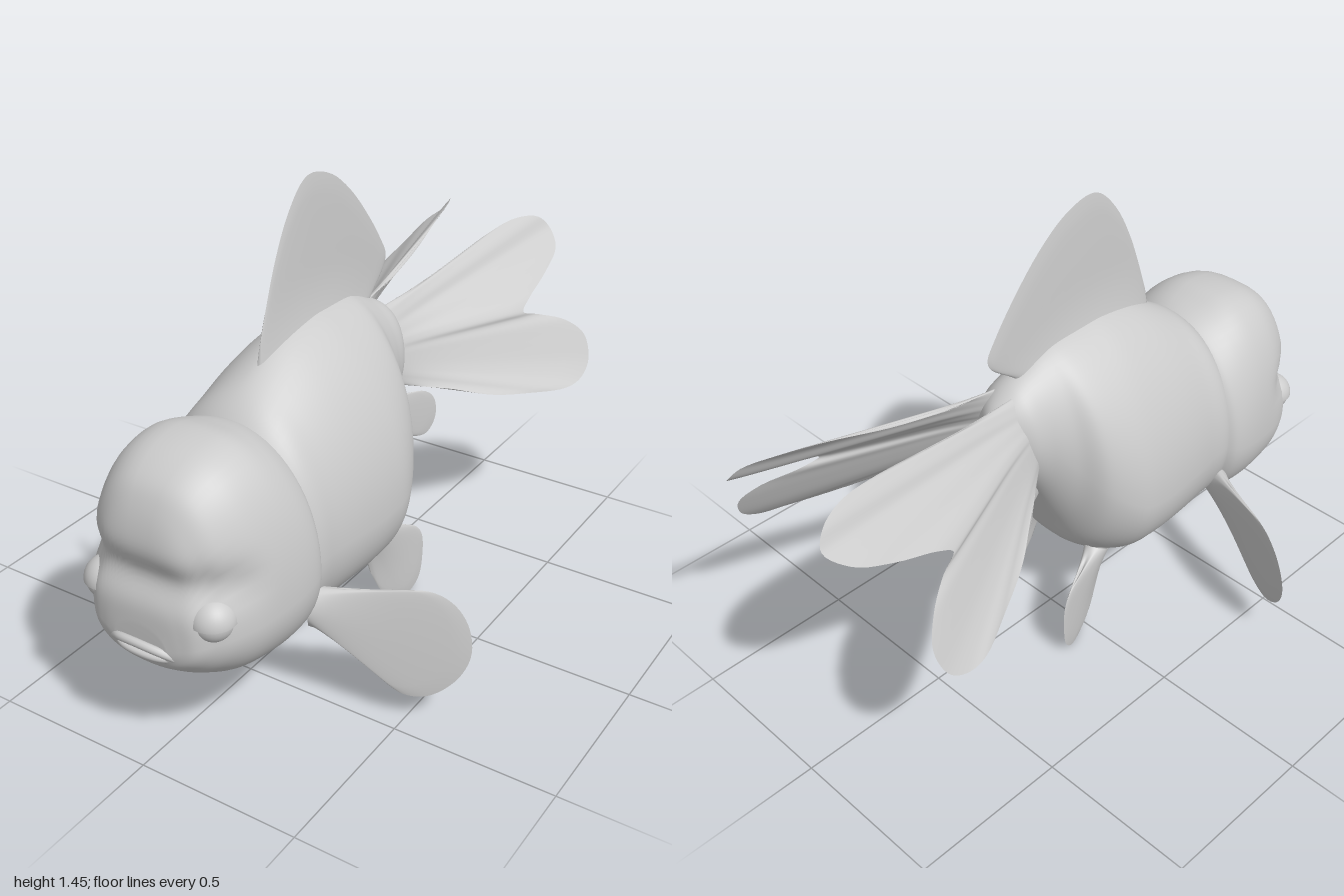
import * as THREE from 'three';

const V = (x, y, z) => new THREE.Vector3(x, y, z);
const skin = new THREE.MeshStandardMaterial({ color: 0xcccccc, side: THREE.DoubleSide });

function mesh(name, geometry) {
  const m = new THREE.Mesh(geometry, skin);
  m.name = name;
  return m;
}

// Smooth surface through a list of closed rings
function skinRings(rings) {
  const n = rings[0].length, index = [];
  for (let i = 0; i < rings.length - 1; i++) {
    for (let j = 0; j < n; j++) {
      const a = i * n + j, b = i * n + (j + 1) % n;
      index.push(a, a + n, b, b, a + n, b + n);
    }
  }
  const g = new THREE.BufferGeometry().setFromPoints(rings.flat());
  g.setIndex(index);
  g.computeVertexNormals();
  return g;
}

// Body loft, front to back. Section: [z, top, bottom, halfWidth, widestY, upperTaper]
function loft(sections, steps = 72, around = 64) {
  const a = new THREE.CatmullRomCurve3(sections.map(s => V(s[0], s[1], s[2])), false, 'catmullrom');
  const b = new THREE.CatmullRomCurve3(sections.map(s => V(s[3], s[4], s[5])), false, 'catmullrom');
  const rings = [];
  for (let i = 0; i <= steps; i++) {
    const { x: z, y: top, z: bottom } = a.getPoint(i / steps);
    const { x: w, y: mid, z: taper } = b.getPoint(i / steps);
    const ring = [];
    for (let j = 0; j < around; j++) {
      const t = j / around * Math.PI * 2, c = Math.cos(t), s = Math.sin(t);
      const x = w * Math.sign(c) * Math.abs(c) ** (s > 0 ? taper : 0.85);
      ring.push(V(x, mid + s * (s > 0 ? top - mid : mid - bottom), z));
    }
    rings.push(ring);
  }
  // Close both ends at a point
  const cap = ring => {
    const c = ring.reduce((p, q) => p.add(q), V(0, 0, 0)).divideScalar(around);
    return ring.map(() => c.clone());
  };
  return skinRings([cap(rings[0]), ...rings, cap(rings[steps])]);
}

// Fin: straight rays from a root line to a curved rim, flared at the root and thin at the rim
function fin(name, root, rim, thick, across = 56, along = 16) {
  const [r0, r1] = root;
  const curve = new THREE.CatmullRomCurve3(rim, false, 'centripetal');
  const tips = Array.from({ length: across + 1 }, (_, k) => curve.getPoint(k / across));
  const normal = curve.getPoint(0.5).sub(r0.clone().lerp(r1, 0.5)).cross(r1.clone().sub(r0)).normalize();
  const rings = [];
  for (let i = 0; i <= along; i++) {
    const v = i / along, ring = [];
    for (let j = 0; j < across * 2; j++) {
      const k = j <= across ? j : across * 2 - j, u = k / across;
      const base = r0.clone().lerp(r1, u);
      const flare = Math.max(0, 1 - v * base.distanceTo(tips[k]) / 0.25) ** 2;
      const half = (j <= across ? 1 : -1) * thick * Math.max(0, Math.sin(Math.PI * u)) ** 0.6
        * Math.sqrt(1 - v) * (0.35 + 0.65 * flare);
      ring.push(base.lerp(tips[k], v).addScaledVector(normal, half));
    }
    rings.push(ring);
  }
  return mesh(name, skinRings(rings));
}

// Maps pairs of coordinates to points in space
const place = (pairs, rule) => pairs.map(([a, b]) => rule(a, b));

export function createModel() {
  const fish = new THREE.Group();
  fish.name = 'fish';

  fish.add(mesh('body', loft([
    [0.62, 0.80, 0.26, 0.22, 0.50, 1.0],
    [0.54, 0.895, 0.22, 0.275, 0.50, 1.0],
    [0.45, 0.96, 0.213, 0.285, 0.50, 1.15],
    [0.33, 1.02, 0.215, 0.302, 0.50, 1.3],
    [0.20, 1.05, 0.222, 0.312, 0.50, 1.35],
    [0.10, 1.05, 0.235, 0.305, 0.52, 1.35],
    [0.00, 1.04, 0.30, 0.255, 0.60, 1.3],
    [-0.06, 1.02, 0.42, 0.18, 0.68, 1.2],
    [-0.12, 0.99, 0.55, 0.135, 0.76, 1.1],
    [-0.18, 0.96, 0.64, 0.115, 0.79, 1.0],
    [-0.23, 0.92, 0.72, 0.07, 0.82, 1.0],
    [-0.26, 0.88, 0.76, 0.02, 0.82, 1.0],
  ])));

  // Head with a domed forehead; its gill edge stands slightly proud of the body
  const head = loft([
    [0.975, 0.45, 0.36, 0.085, 0.395, 1.0],
    [0.968, 0.56, 0.345, 0.125, 0.41, 0.8],
    [0.955, 0.70, 0.325, 0.165, 0.42, 0.7],
    [0.925, 0.795, 0.30, 0.20, 0.43, 0.7],
    [0.88, 0.855, 0.27, 0.238, 0.44, 0.7],
    [0.80, 0.898, 0.23, 0.275, 0.45, 0.7],
    [0.70, 0.912, 0.21, 0.295, 0.46, 0.72],
    [0.62, 0.895, 0.206, 0.302, 0.47, 0.8],
    [0.56, 0.875, 0.212, 0.295, 0.48, 0.95],
    [0.525, 0.85, 0.25, 0.27, 0.49, 1.0],
  ]);
  // Soft crease below the dome
  const p = head.attributes.position;
  for (let i = 0; i < p.count; i++) {
    const front = THREE.MathUtils.smoothstep(p.getZ(i), 0.72, 0.92);
    const crease = front * Math.exp(-(((p.getY(i) - 0.59) / 0.055) ** 2));
    p.setX(i, p.getX(i) * (1 - 0.07 * crease));
    p.setZ(i, p.getZ(i) - 0.03 * crease);
  }
  head.computeVertexNormals();
  fish.add(mesh('head', head));

  // Downturned lips
  const lip = (name, y, z, drop, r) => fish.add(mesh(name, new THREE.TubeGeometry(
    new THREE.CatmullRomCurve3([V(-0.11, y - drop, z - 0.035), V(-0.065, y - drop * 0.25, z - 0.008),
      V(0, y, z), V(0.065, y - drop * 0.25, z - 0.008), V(0.11, y - drop, z - 0.035)]), 32, r, 12)));
  lip('upperLip', 0.405, 0.988, 0.033, 0.012);
  lip('lowerLip', 0.367, 0.978, -0.002, 0.01);

  // Dorsal fin on the centre line
  const mid = (z, y) => V(0, y, z);
  fish.add(fin('dorsalFin', place([[0.43, 0.94], [-0.13, 0.94]], mid), place([
    [0.41, 1.03], [0.38, 1.12], [0.33, 1.25], [0.27, 1.36], [0.2, 1.435], [0.15, 1.45], [0.05, 1.42],
    [-0.05, 1.345], [-0.15, 1.235], [-0.22, 1.14], [-0.25, 1.085], [-0.24, 1.05], [-0.18, 1.0], [-0.15, 0.98],
  ], mid), 0.055));

  // Paired parts, built on the left and mirrored
  for (const side of [1, -1]) {
    const half = new THREE.Group();
    half.name = side > 0 ? 'leftSide' : 'rightSide';
    half.scale.x = side;

    const eye = mesh('eye', new THREE.SphereGeometry(0.062, 32, 24));
    eye.position.set(0.176, 0.488, 0.885);
    const lid = mesh('upperEyelid', new THREE.SphereGeometry(0.068, 32, 12, 0, Math.PI * 2, 0, Math.PI / 2));
    lid.position.copy(eye.position);
    half.add(eye, lid);

    // Forked tail fin, leaning outward towards its lower lobe
    half.add(fin('tailFin', [V(0.03, 0.94, -0.15), V(0.09, 0.71, -0.14)], [
      V(0.045, 0.945, -0.35), V(0.07, 0.975, -0.55), V(0.1, 1.015, -0.74), V(0.13, 1.03, -0.88),
      V(0.17, 1.015, -0.97), V(0.2, 0.975, -1), V(0.25, 0.93, -0.95), V(0.27, 0.88, -0.83),
      V(0.28, 0.84, -0.7), V(0.285, 0.81, -0.65), V(0.31, 0.785, -0.71), V(0.37, 0.745, -0.8),
      V(0.42, 0.685, -0.85), V(0.45, 0.61, -0.83), V(0.455, 0.57, -0.77), V(0.44, 0.56, -0.69),
      V(0.37, 0.58, -0.55), V(0.3, 0.61, -0.42), V(0.22, 0.66, -0.3),
    ], 0.03, 90));

    const pectoral = (x, y) => V(x, y, 0.52 - 0.45 * (x - 0.28) + 0.15 * (0.3 - y));
    half.add(fin('pectoralFin', place([[0.24, 0.405], [0.24, 0.28]], pectoral), place([
      [0.32, 0.4], [0.44, 0.41], [0.54, 0.415], [0.6, 0.385], [0.645, 0.32], [0.66, 0.23], [0.63, 0.15],
      [0.56, 0.092], [0.49, 0.095], [0.43, 0.15], [0.36, 0.235], [0.29, 0.275],
    ], pectoral), 0.04));

    const pelvic = (z, y) => V(0.21 - 0.3 * (z + 0.15), y, z);
    half.add(fin('pelvicFin', place([[0.1, 0.28], [0.02, 0.32]], pelvic), place([
      [0.06, 0.15], [0.01, 0.055], [-0.05, 0.012], [-0.1, 0.002], [-0.14, 0.04], [-0.155, 0.12],
      [-0.15, 0.2], [-0.12, 0.245], [-0.04, 0.275],
    ], pelvic), 0.04));

    const anal = (z, y) => V(0.05 + 0.35 * (-0.12 - z), y, z);
    half.add(fin('analFin', place([[-0.06, 0.58], [-0.06, 0.66]], anal), place([
      [-0.18, 0.525], [-0.26, 0.475], [-0.32, 0.465], [-0.355, 0.51], [-0.35, 0.58], [-0.31, 0.62], [-0.2, 0.64],
    ], anal), 0.03));

    fish.add(half);
  }
  return fish;
}
